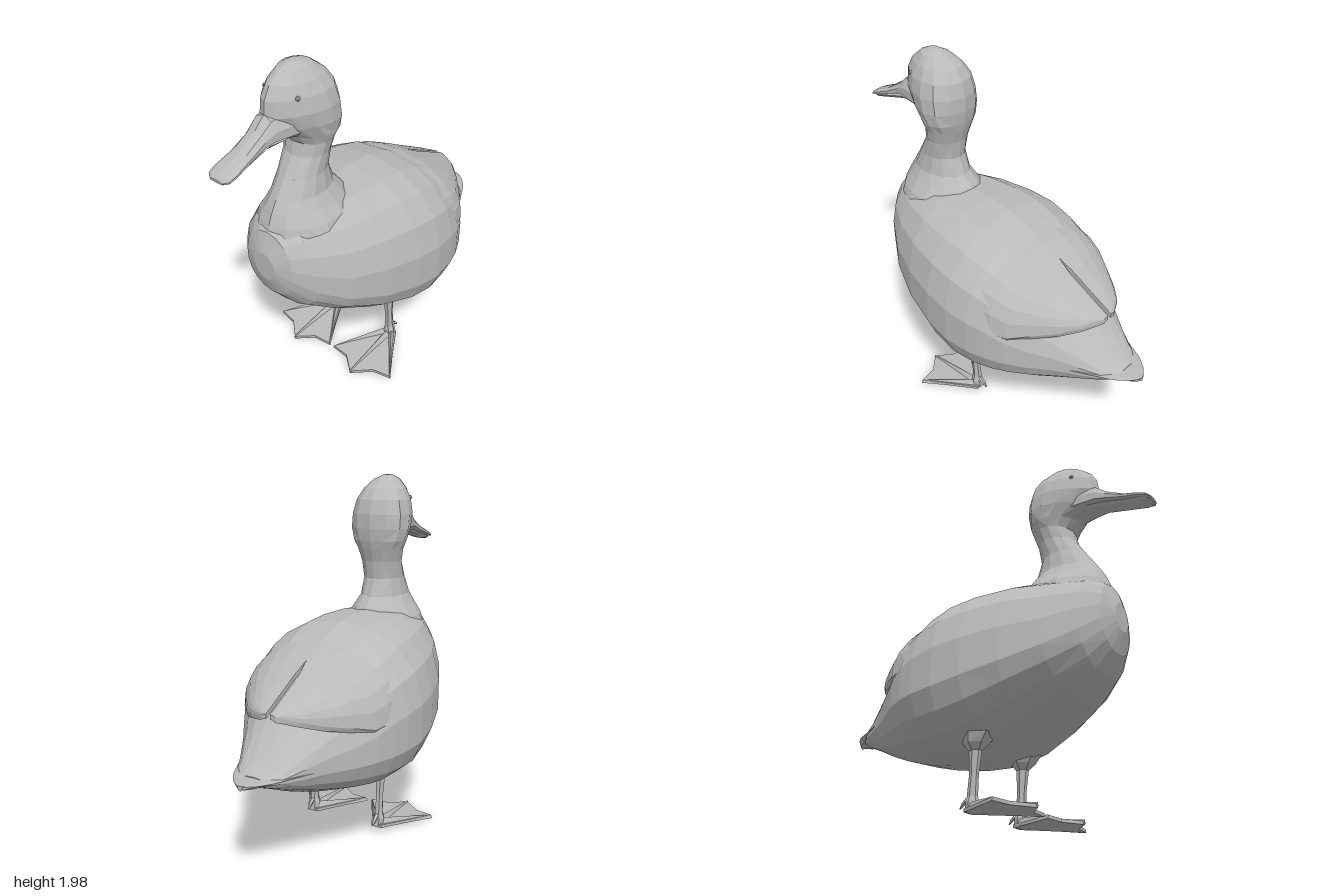
import * as THREE from 'three';

const V = (x, y, z) => new THREE.Vector3(x, y, z);

// Skin a list of closed rings, cap both ends and make the faces point outward.
function loft(rings) {
  const n = rings[0].length, pts = rings.flat(), tri = [];
  const ends = [rings[0], rings[rings.length - 1]].map((r) => {
    const c = V(0, 0, 0);
    r.forEach((p) => c.add(p));
    return pts.push(c.divideScalar(n)) - 1;
  });
  const last = (rings.length - 1) * n;
  for (let j = 0; j < n; j++) {
    const k = (j + 1) % n;
    for (let i = 0; i < rings.length - 1; i++) {
      const a = i * n + j, b = i * n + k, c = a + n, d = b + n;
      if ((i + j) % 2) tri.push([a, b, c], [b, d, c]);
      else tri.push([a, b, d], [a, d, c]);
    }
    tri.push([ends[0], k, j], [ends[1], last + j, last + k]);
  }
  let volume = 0;
  for (const [a, b, c] of tri) volume += pts[a].dot(pts[b].clone().cross(pts[c]));
  if (volume < 0) tri.forEach((t) => t.reverse());
  const g = new THREE.BufferGeometry().setFromPoints(pts);
  g.setIndex(tri.flat());
  g.computeVertexNormals();
  return g;
}

const pow = (v, e) => Math.sign(v) * Math.abs(v) ** e;

// Upright cross-section at z: rounded-square outline, widest at height mid.
function section(z, top, bottom, half, mid, e = 0.82, n = 18) {
  return Array.from({ length: n }, (_, i) => {
    const a = (i / n) * Math.PI * 2, c = pow(Math.cos(a), e);
    return V(half * pow(Math.sin(a), e), mid + c * (c > 0 ? top - mid : mid - bottom), z);
  });
}

// Level cross-section at y, egg-shaped by taper with the narrow end in front.
function slice(y, back, front, half, taper = 0, n = 14) {
  return Array.from({ length: n }, (_, i) => {
    const a = (i / n) * Math.PI * 2, c = Math.cos(a);
    const x = half * Math.sin(a) * (1 - taper * c) / (1 + taper * taper / 2);
    return V(x, y, (front + back) / 2 + c * (front - back) / 2);
  });
}

// Tapered limb through points [x, y, z, radiusX, radiusZ].
const limb = (list, n = 6) => loft(list.map(([x, y, z, rx, rz]) =>
  Array.from({ length: n }, (_, i) => {
    const a = (i / n) * Math.PI * 2;
    return V(x + rx * Math.cos(a), y, z + rz * Math.sin(a));
  })));

export function createModel() {
  const model = new THREE.Group();
  model.name = 'duck';
  const grey = new THREE.MeshStandardMaterial({ color: 0xbababa, flatShading: true });
  grey.name = 'plain grey';
  const add = (name, geometry, parent = model) => {
    const m = new THREE.Mesh(geometry, grey);
    m.name = name;
    parent.add(m);
    return m;
  };

  // Body: z, top, bottom, half width, height of widest point
  add('body', loft([
    [0.768, 1.04, 0.88, 0.07, 0.96, 1], [0.73, 1.15, 0.77, 0.16, 0.94, 0.95],
    [0.65, 1.2, 0.67, 0.25, 0.88, 0.9], [0.5, 1.22, 0.575, 0.355, 0.8, 0.88],
    [0.3, 1.235, 0.475, 0.44, 0.75], [0.1, 1.235, 0.385, 0.49, 0.72],
    [-0.06, 1.22, 0.348, 0.505, 0.7], [-0.2, 1.178, 0.355, 0.49, 0.69], [-0.3, 1.125, 0.37, 0.462, 0.68],
    [-0.4, 1.045, 0.385, 0.417, 0.66, 0.88], [-0.5, 0.95, 0.41, 0.35, 0.64, 0.9],
    [-0.62, 0.84, 0.45, 0.265, 0.63, 0.9], [-0.73, 0.74, 0.495, 0.198, 0.615, 0.9],
    [-0.83, 0.655, 0.545, 0.14, 0.605, 0.9], [-0.9, 0.625, 0.575, 0.08, 0.6, 0.9],
  ].map((s) => section(...s))));

  // Flat tail feathers
  add('tail', loft([
    [-0.62, 0.25], [-0.7, 0.215], [-0.8, 0.165], [-0.9, 0.115], [-0.96, 0.065], [-0.995, 0.015],
  ].map(([z, w]) => section(z, 0.635 + (z + 0.62) * 0.05, 0.595 + (z + 0.62) * 0.02, w, 0.612, 1, 8))));

  // Folded wings rising out of the back: z, top, outer edge x, outer edge y
  const wingRows = [
    [-0.12, 1.15, 0.44, 0.84], [-0.22, 1.155, 0.45, 0.81], [-0.32, 1.127, 0.437, 0.79],
    [-0.41, 1.082, 0.405, 0.775], [-0.5, 1.03, 0.335, 0.8], [-0.62, 0.967, 0.235, 0.83],
    [-0.7, 0.925, 0.15, 0.86], [-0.76, 0.895, 0.04, 0.885],
  ];
  for (const s of [1, -1]) {
    add(s > 0 ? 'leftWing' : 'rightWing', loft(wingRows.map(([z, top, ex, ey]) => {
      const outer = [], inner = [], gap = z < -0.45 ? 0.012 : 0;
      for (let i = 0; i <= 6; i++) {
        const a = (i / 6) * Math.PI / 2;
        const x = gap + (ex - gap) * Math.sin(a) ** 0.88, y = ey + (top - ey) * Math.cos(a) ** 0.88;
        outer.push(V(s * x, y, z));
        inner.unshift(V(s * x * 0.95, y - 0.025, z));
      }
      return [...outer, ...inner];
    })));
  }

  // Neck and head: y, back z, front z, half width, taper to the front
  add('neckAndHead', loft([
    [1, 0.25, 0.7, 0.2], [1.09, 0.2, 0.742, 0.25, 0.1], [1.18, 0.2, 0.715, 0.21], [1.24, 0.23, 0.69, 0.165],
    [1.3, 0.285, 0.655, 0.13], [1.4, 0.322, 0.59, 0.115], [1.5, 0.31, 0.53, 0.12],
    [1.57, 0.288, 0.515, 0.137], [1.62, 0.275, 0.55, 0.158, 0.15], [1.69, 0.265, 0.64, 0.172, 0.33],
    [1.77, 0.265, 0.69, 0.17, 0.35], [1.85, 0.285, 0.68, 0.15, 0.33], [1.91, 0.325, 0.645, 0.115, 0.28],
    [1.96, 0.39, 0.58, 0.07, 0.15], [1.985, 0.46, 0.52, 0.02],
  ].map((s) => slice(...s))));

  // Bill, upper and lower halves
  add('upperBill', loft([
    [0.56, 1.8, 1.645, 0.1, 1.68], [0.69, 1.785, 1.66, 0.078, 1.685], [0.75, 1.73, 1.655, 0.066, 1.672],
    [0.85, 1.67, 1.625, 0.067, 1.635], [0.94, 1.632, 1.6, 0.074, 1.608],
    [0.98, 1.615, 1.588, 0.068, 1.595], [0.998, 1.6, 1.585, 0.04, 1.59],
  ].map((s) => section(...s, 0.9, 10))));
  add('lowerBill', loft([
    [0.48, 1.66, 1.61, 0.09, 1.645], [0.6, 1.67, 1.64, 0.08, 1.66], [0.72, 1.66, 1.633, 0.056, 1.655],
    [0.85, 1.628, 1.6, 0.056, 1.62], [0.95, 1.6, 1.576, 0.06, 1.595], [0.985, 1.588, 1.572, 0.04, 1.582],
  ].map((s) => section(...s, 0.9, 8))));

  for (const s of [1, -1]) {
    const side = s > 0 ? 'left' : 'right';

    // Small eye, half sunk in the head
    const eye = add(side + 'Eye', new THREE.IcosahedronGeometry(0.014, 0));
    eye.position.set(s * 0.102, 1.853, 0.572);

    // Leg with a short flared thigh and a knobbly ankle
    const leg = new THREE.Group();
    leg.name = side + 'Leg';
    model.add(leg);
    const x = s * 0.215;
    add('shank', limb([
      [x, 0.42, 0.03, 0.085, 0.095], [x, 0.372, 0.02, 0.068, 0.065], [x, 0.34, 0.015, 0.029, 0.036],
      [x, 0.22, 0.008, 0.021, 0.026], [x, 0.11, 0, 0.023, 0.03], [x, 0.08, 0, 0.034, 0.036], [x, 0.04, -0.005, 0.028, 0.035],
    ]), leg);

    // Toes: tip x offset (outward) and tip z
    const tips = [[-0.195, 0.29], [0.005, 0.38], [0.21, 0.27]];
    for (const [tx, tz] of tips) {
      const rows = [[0, 0.034, 0.03, 0.085], [0.5, 0.018, 0.022, 0.058], [1, 0.007, 0.01, 0.03]];
      add('toe', loft(rows.map(([t, w, low, high]) => {
        const cx = x + s * tx * t, cz = -0.02 + (tz + 0.02) * t;
        return [V(cx - w, low, cz), V(cx, high, cz), V(cx + w, low, cz)];
      })), leg);
    }

    // Webbing with a scalloped front edge
    const rim = [[-0.03, -0.03], tips[0], [-0.09, 0.3], tips[1], [0.105, 0.29], tips[2], [0.03, -0.03]];
    const level = (h) => rim.map(([rx, rz]) => V(x + s * rx, h + 0.028 * (1 - (rz + 0.03) / 0.41), rz));
    add('web', loft([level(0.004), level(0.022)]), leg);

    // Hind toe
    add('hindToe', limb([[x, 0.11, -0.015, 0.016, 0.018], [x, 0.085, -0.05, 0.012, 0.014], [x, 0.058, -0.075, 0.004, 0.004]], 5), leg);
  }
  return model;
}
